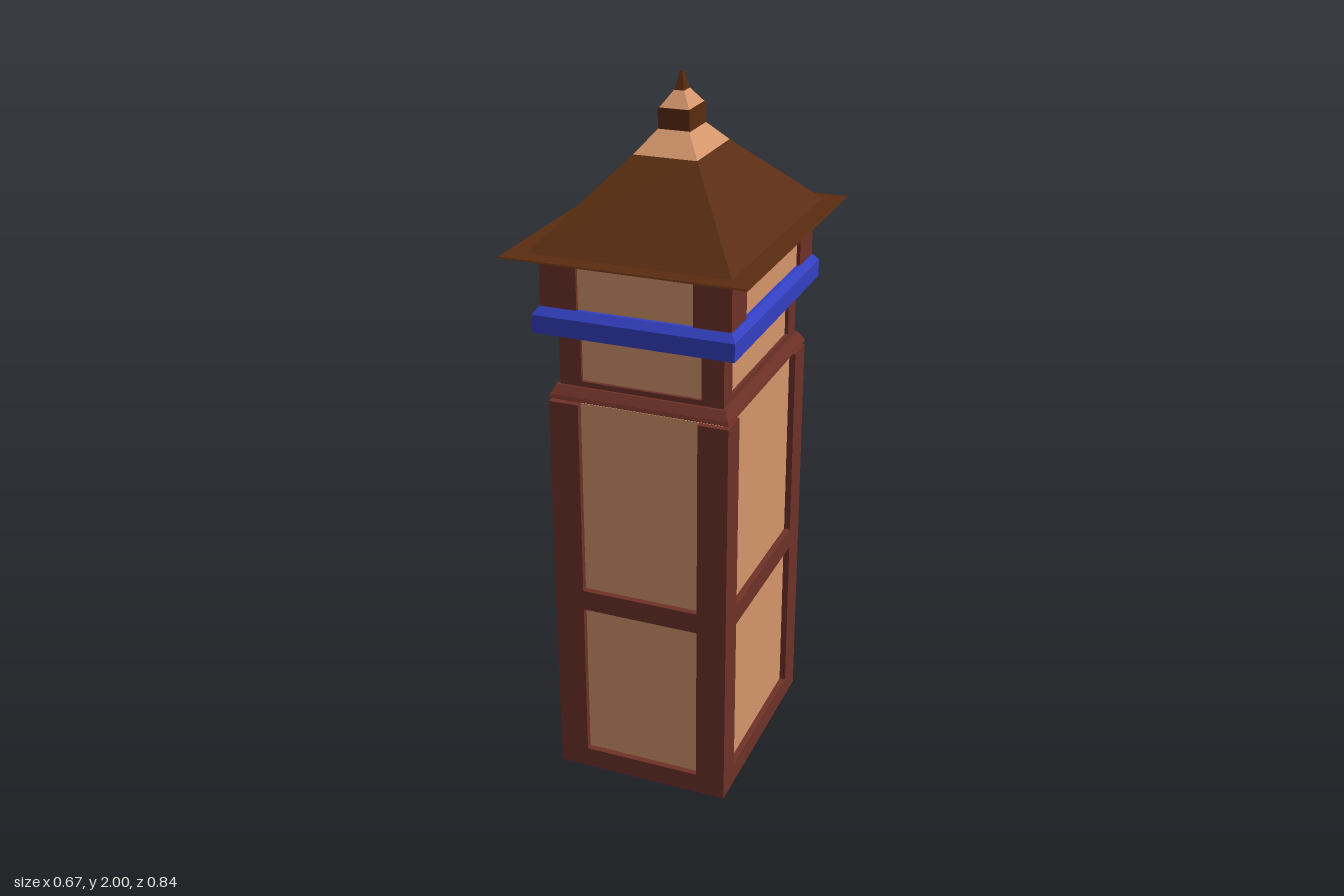
import * as THREE from 'three';

const mat = (color) => new THREE.MeshStandardMaterial({ color, flatShading: true });

export function createModel() {
  const model = new THREE.Group();
  const tan = mat(0xd4956b), red = mat(0x6e3128), brown = mat(0x5a2c10), blue = mat(0x333fc0);

  function box(parent, name, material, w, h, d, x, y, z) {
    const mesh = new THREE.Mesh(new THREE.BoxGeometry(w, h, d), material);
    mesh.name = name;
    mesh.position.set(x, y, z);
    parent.add(mesh);
  }

  // Closed solid through rectangular sections [y, halfX, halfZ], bottom to top
  function stack(name, material, sections) {
    const pos = [], idx = [];
    const corners = [[1, 1], [1, -1], [-1, -1], [-1, 1]];
    for (const [y, hx, hz] of sections)
      for (const [sx, sz] of corners) pos.push(sx * hx, y, sz * hz);
    for (let s = 0; s < sections.length - 1; s++)
      for (let i = 0; i < 4; i++) {
        const a = s * 4 + i, b = s * 4 + (i + 1) % 4;
        idx.push(a, b, b + 4, a, b + 4, a + 4);
      }
    const t = (sections.length - 1) * 4;
    idx.push(0, 2, 1, 0, 3, 2, t, t + 1, t + 2, t, t + 2, t + 3);
    const indexed = new THREE.BufferGeometry();
    indexed.setAttribute('position', new THREE.Float32BufferAttribute(pos, 3));
    indexed.setIndex(idx);
    const geo = indexed.toNonIndexed();
    geo.computeVertexNormals();
    const mesh = new THREE.Mesh(geo, material);
    mesh.name = name;
    model.add(mesh);
  }

  // Panelled storey: recessed core, four corner posts and rails on every side
  function storey(name, { y0, y1, hx, hz, px, pz, inset, coreY0, rails }) {
    const group = new THREE.Group();
    group.name = name;
    const mid = (y0 + y1) / 2;
    box(group, 'wallPanels', tan, 2 * (hx - inset), y1 - coreY0, 2 * (hz - inset), 0, (coreY0 + y1) / 2, 0);
    for (const sx of [-1, 1])
      for (const sz of [-1, 1])
        box(group, 'cornerPost', red, px, y1 - y0, pz, sx * (hx - px / 2), mid, sz * (hz - pz / 2));
    for (const [b, t] of rails)
      for (const s of [-1, 1]) {
        box(group, 'crossRail', red, 2 * (hx - px), t - b, pz, 0, (b + t) / 2, s * (hz - pz / 2));
        box(group, 'sideRail', red, px, t - b, 2 * (hz - pz), s * (hx - px / 2), (b + t) / 2, 0);
      }
    model.add(group);
  }

  // Tower body
  storey('lowerTower', {
    y0: 0, y1: 1.163, hx: 0.255, hz: 0.32, px: 0.085, pz: 0.085, inset: 0.018, coreY0: 0.018,
    rails: [[0, 0.06], [0.535, 0.595]],
  });
  stack('ledge', red, [[1.163, 0.236, 0.3], [1.174, 0.256, 0.321], [1.184, 0.252, 0.317], [1.207, 0.24, 0.3]]);
  storey('middleStorey', {
    y0: 1.2, y1: 1.36, hx: 0.232, hz: 0.293, px: 0.062, pz: 0.062, inset: 0.01, coreY0: 1.2,
    rails: [[1.2, 1.222]],
  });

  // Blue cornice band
  stack('corniceBand', blue, [[1.342, 0.234, 0.296], [1.365, 0.28, 0.35], [1.415, 0.28, 0.35], [1.435, 0.266, 0.332]]);
  storey('upperStorey', {
    y0: 1.425, y1: 1.575, hx: 0.264, hz: 0.33, px: 0.103, pz: 0.11, inset: 0.01, coreY0: 1.425,
    rails: [],
  });

  // Hipped roof with flared eaves
  stack('roof', brown, [[1.56, 0.265, 0.332], [1.584, 0.335, 0.42], [1.588, 0.333, 0.418],
    [1.589, 0.277, 0.37], [1.8, 0.089, 0.119]]);
  stack('roofCrown', tan, [[1.8, 0.089, 0.119], [1.858, 0.042, 0.057]]);

  // Finial
  stack('finialBlock', brown, [[1.855, 0.044, 0.058], [1.912, 0.044, 0.058]]);
  stack('finialCap', tan, [[1.912, 0.041, 0.055], [1.952, 0.014, 0.02]]);
  stack('spire', brown, [[1.952, 0.014, 0.02], [1.99, 0.005, 0.008], [2, 0.003, 0.005]]);

  return model;
}
